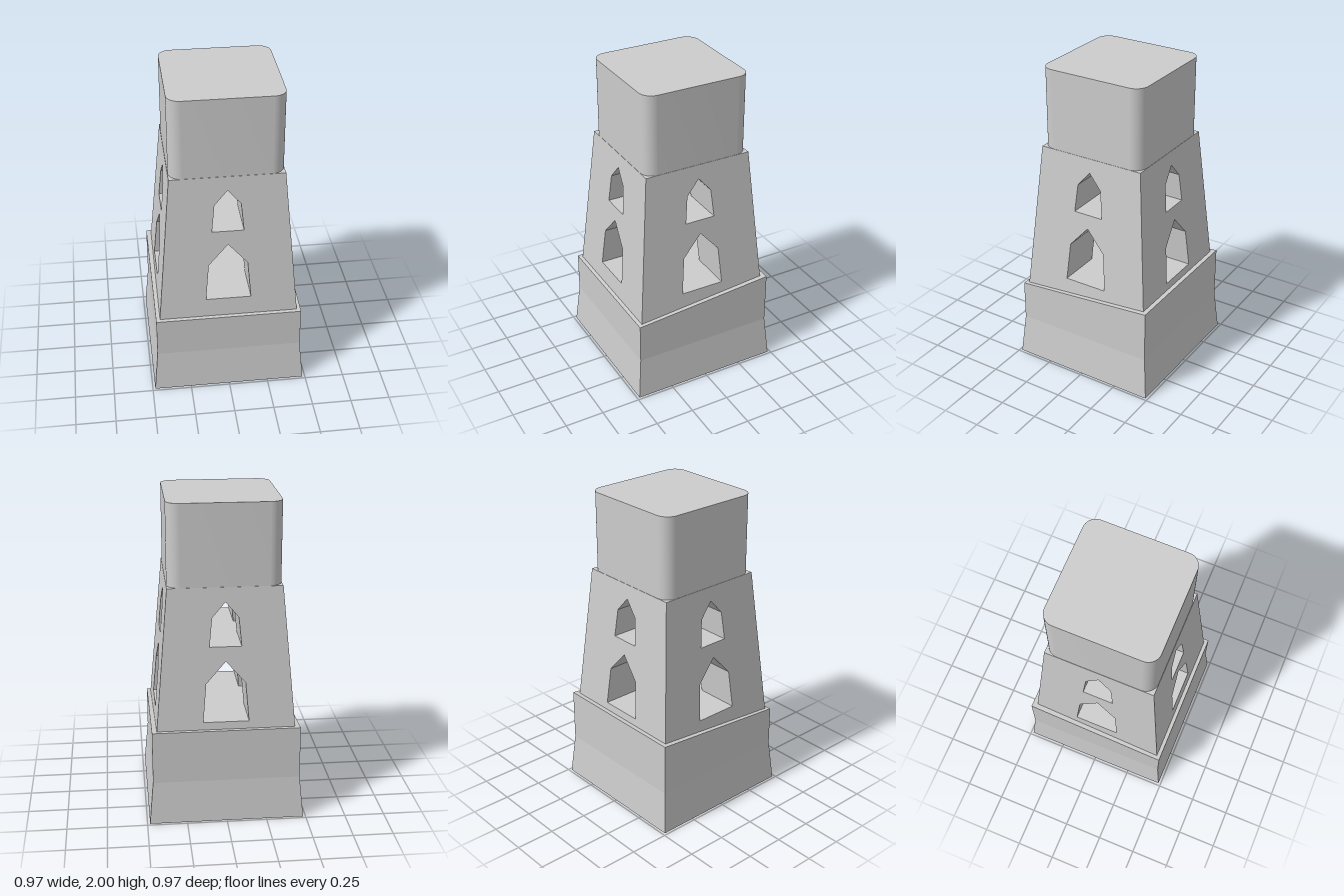
import * as THREE from 'three';
import { toCreasedNormals } from 'three/addons/utils/BufferGeometryUtils.js';

// Four-sided loft; each section is { x: [min, max], z: [min, max], front: y, back: y }
function loft(sections) {
  const rings = sections.map(({ x, z, front, back = front }) => [
    [x[0], front, z[1]], [x[1], front, z[1]], [x[1], back, z[0]], [x[0], back, z[0]],
  ]);
  const pos = [];
  const quad = (a, b, c, d) => pos.push(...a, ...b, ...c, ...a, ...c, ...d);
  for (let k = 0; k < rings.length - 1; k++) {
    for (let i = 0; i < 4; i++) {
      const j = (i + 1) % 4;
      quad(rings[k][i], rings[k][j], rings[k + 1][j], rings[k + 1][i]);
    }
  }
  const [a, b, c, d] = rings[0];
  quad(d, c, b, a);
  quad(...rings[rings.length - 1]);
  const geo = new THREE.BufferGeometry();
  geo.setAttribute('position', new THREE.Float32BufferAttribute(pos, 3));
  geo.computeVertexNormals();
  return geo;
}

// Square section centred on the axis
const square = (h, front, back) => ({ x: [-h, h], z: [-h, h], front, back });

// Half-width of the tapering shaft at height y
const taper = (y) => 0.35 + 0.088 * (1.49 - y);

export function createModel() {
  const group = new THREE.Group();
  const stone = new THREE.MeshStandardMaterial({ color: 0xcccccc });
  stone.name = 'pale grey stone';

  const add = (name, geo) => {
    const mesh = new THREE.Mesh(geo, stone);
    mesh.name = name;
    group.add(mesh);
  };

  // Flared plinth with a top that rises towards the back
  add('plinth', loft([square(0.484, 0), square(0.459, 0.27), square(0.459, 0.526, 0.605)]));

  // Solid bands of the shaft below, between and above the windows
  const bands = [['lowerBand', 0.45, 0.65], ['middleBand', 1.033, 1.125], ['upperBand', 1.4, 1.49]];
  for (const [name, y0, y1] of bands) {
    add(name, loft([square(taper(y0), y0), square(taper(y1), y1)]));
  }

  // Pointed windows run right through both ways, leaving four corner piers
  // Each profile lists [height, half-width of the opening]
  const windows = {
    lowerPier: [[0.65, 0.141], [0.895, 0.121], [1.033, 0]],
    upperPier: [[1.125, 0.098], [1.305, 0.081], [1.4, 0]],
  };
  for (const [name, profile] of Object.entries(windows)) {
    for (const sx of [-1, 1]) {
      for (const sz of [-1, 1]) {
        const range = (s, w, h) => (s > 0 ? [w, h] : [-h, -w]);
        add(name, loft(profile.map(([y, w]) => ({
          x: range(sx, w, taper(y)), z: range(sz, w, taper(y)), front: y,
        }))));
      }
    }
  }

  // Upright top block with rounded corners
  const h = 0.348, r = 0.08, k = h - r;
  const outline = new THREE.Shape();
  outline.absarc(k, k, r, 0, Math.PI / 2);
  outline.absarc(-k, k, r, Math.PI / 2, Math.PI);
  outline.absarc(-k, -k, r, Math.PI, Math.PI * 1.5);
  outline.absarc(k, -k, r, Math.PI * 1.5, Math.PI * 2);
  const block = new THREE.ExtrudeGeometry(outline, { depth: 0.53, bevelEnabled: false, curveSegments: 10 });
  block.rotateX(-Math.PI / 2).translate(0, 1.47, 0);
  add('topBlock', toCreasedNormals(block, 0.6));

  return group;
}
